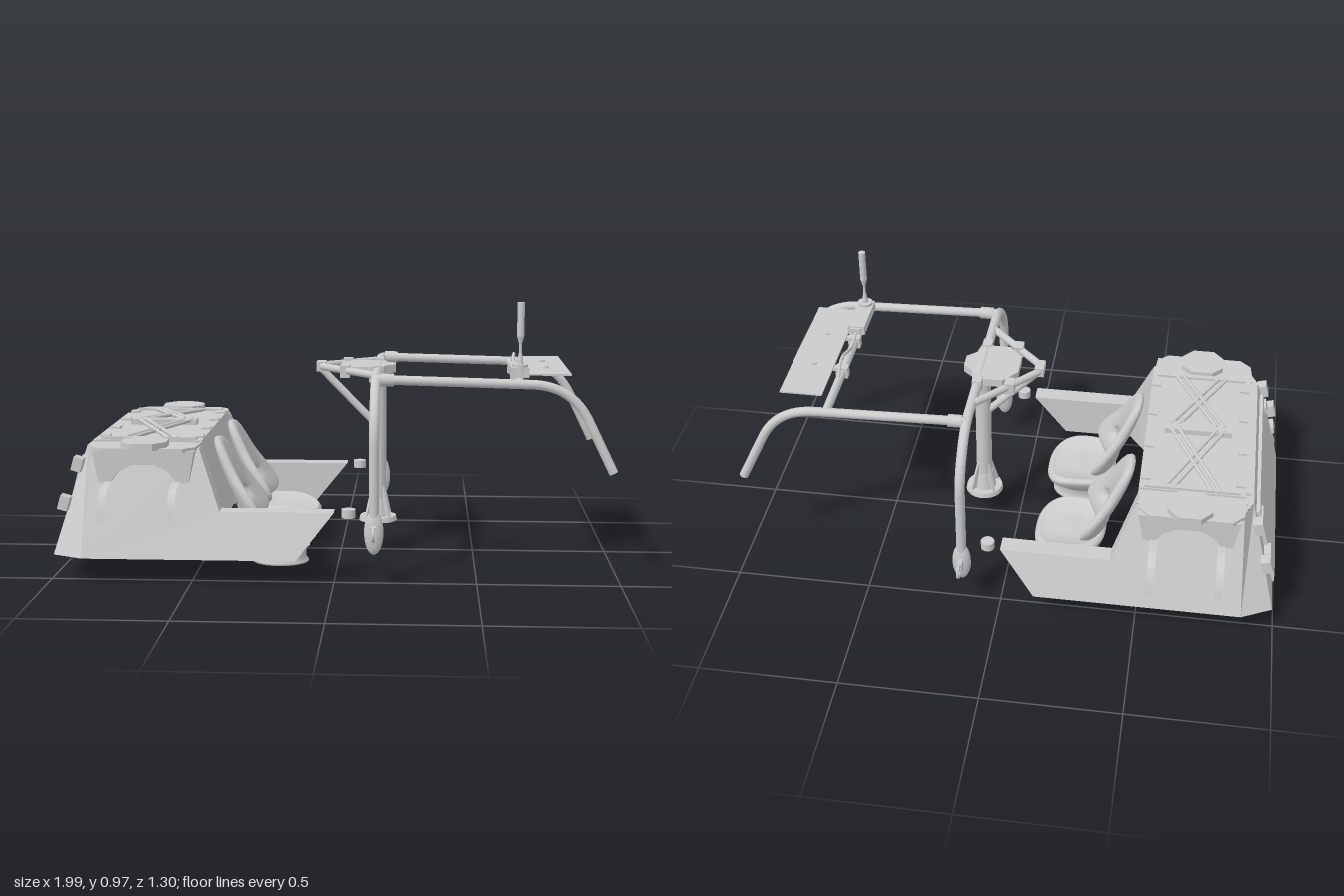
import * as THREE from 'three';
import { ParametricGeometry } from 'three/addons/geometries/ParametricGeometry.js';

const mat = new THREE.MeshStandardMaterial({ color: 0xcccccc, side: THREE.DoubleSide });
const V = (x, y, z) => new THREE.Vector3(x, y, z);

export function createModel() {
  const root = new THREE.Group();

  const add = (name, geo, x = 0, y = 0, z = 0, parent = root) => {
    const m = new THREE.Mesh(geo, mat);
    m.name = name;
    m.position.set(x, y, z);
    parent.add(m);
    return m;
  };
  const box = (name, x, y, z, w, h, d) => add(name, new THREE.BoxGeometry(w, h, d), x, y, z);
  const cyl = (name, x, y, z, r, h, r2 = r, n = 24) => add(name, new THREE.CylinderGeometry(r2, r, h, n), x, y, z);

  // Flat panel from corners, as a fan
  const panel = (name, pts) => {
    const a = [];
    for (let i = 1; i < pts.length - 1; i++) a.push(...pts[0], ...pts[i], ...pts[i + 1]);
    const g = new THREE.BufferGeometry();
    g.setAttribute('position', new THREE.Float32BufferAttribute(a, 3));
    g.computeVertexNormals();
    add(name, g);
  };

  // Capped pipe through points, with rounded corners
  const pipe = (name, pts, r, bend = 0.08) => {
    const p = pts.map((q) => V(...q));
    const path = new THREE.CurvePath();
    let from = p[0];
    for (let i = 1; i < p.length - 1; i++) {
      const toward = (q) => p[i].clone().add(q.clone().sub(p[i]).setLength(Math.min(bend, q.distanceTo(p[i]) * 0.45)));
      const a = toward(p[i - 1]), b = toward(p[i + 1]);
      path.add(new THREE.LineCurve3(from, a));
      path.add(new THREE.QuadraticBezierCurve3(a, p[i], b));
      from = b;
    }
    path.add(new THREE.LineCurve3(from, p[p.length - 1]));
    add(name, new THREE.TubeGeometry(path, p.length > 2 ? 60 : 1, r, 14));
    for (const t of [0, 1]) {
      const cap = add(name + 'Cap', new THREE.CircleGeometry(r, 14));
      cap.position.copy(path.getPointAt(t));
      cap.lookAt(cap.position.clone().add(path.getTangentAt(t).multiplyScalar(t ? 1 : -1)));
    }
  };

  // Outline in x/z extruded upward from y
  const plate = (name, pts, y, h) => {
    const s = new THREE.Shape(pts.map(([x, z]) => new THREE.Vector2(x, -z)));
    const g = new THREE.ExtrudeGeometry(s, { depth: h, bevelEnabled: false });
    g.rotateX(-Math.PI / 2);
    add(name, g, 0, y, 0);
  };

  // Tub: rear wall, deck and bulkhead
  panel('rearWall', [[-0.99, 0.09, 0.51], [-0.99, 0.09, -0.51], [-0.89, 0.46, -0.37], [-0.89, 0.46, 0.37]]);
  panel('deck', [[-0.89, 0.46, 0.37], [-0.86, 0.46, 0.43], [-0.48, 0.46, 0.43], [-0.48, 0.46, -0.43], [-0.86, 0.46, -0.43], [-0.89, 0.46, -0.37]]);
  panel('bulkhead', [[-0.46, 0.09, 0.36], [-0.46, 0.09, -0.36], [-0.48, 0.46, -0.36], [-0.48, 0.46, 0.36]]);

  // Tub sides, mirrored
  for (const s of [1, -1]) {
    const side = (name, pts) => panel(name, pts.map(([x, y, z]) => [x, y, z * s]));
    side('sidePanel', [[-0.88, 0.09, 0.565], [-0.13, 0.09, 0.565], [0, 0.25, 0.507], [-0.4, 0.25, 0.507], [-0.48, 0.46, 0.432], [-0.86, 0.46, 0.432]]);
    side('rearCorner', [[-0.88, 0.09, 0.565], [-0.99, 0.09, 0.51], [-0.89, 0.46, 0.37], [-0.86, 0.46, 0.432]]);
    side('sillTop', [[-0.4, 0.25, 0.44], [-0.4, 0.25, 0.507], [0, 0.25, 0.507], [0, 0.25, 0.44]]);
    side('sillInner', [[-0.4, 0.09, 0.44], [-0.13, 0.09, 0.44], [0, 0.25, 0.44], [-0.4, 0.25, 0.44]]);
    side('sillFront', [[-0.13, 0.09, 0.44], [-0.13, 0.09, 0.565], [0, 0.25, 0.507], [0, 0.25, 0.44]]);
    side('pillarFront', [[-0.4, 0.25, 0.44], [-0.4, 0.25, 0.507], [-0.48, 0.46, 0.432], [-0.48, 0.46, 0.36]]);
    side('pillarInner', [[-0.46, 0.09, 0.36], [-0.4, 0.09, 0.44], [-0.4, 0.25, 0.44], [-0.48, 0.46, 0.36]]);

    // Arched shoulder box and its eight-sided lid
    const arch = new THREE.Shape([[-0.83, 0.35], [-0.79, 0.34], [-0.76, 0.385], [-0.71, 0.41], [-0.63, 0.41], [-0.58, 0.385], [-0.55, 0.34],
      [-0.51, 0.35], [-0.49, 0.46], [-0.85, 0.46]].map((q) => new THREE.Vector2(...q)));
    add('shoulderBox', new THREE.ExtrudeGeometry(arch, { depth: 0.11, bevelEnabled: false }), 0, 0, s > 0 ? 0.38 : -0.49);
    plate('shoulderTop', [[-0.87, 0.36], [-0.86, 0.46], [-0.82, 0.5], [-0.53, 0.5], [-0.49, 0.46], [-0.48, 0.36]].map(([x, z]) => [x, z * s]), 0.455, 0.015);
    plate('shoulderLid', [[-0.71, 0.37], [-0.63, 0.37], [-0.59, 0.41], [-0.59, 0.475], [-0.63, 0.52], [-0.71, 0.52], [-0.75, 0.475], [-0.75, 0.41]].map(([x, z]) => [x, z * s]), 0.465, 0.025);

    // Curved side straps
    const arc = new THREE.CatmullRomCurve3([V(0, 0.35, 0.47), V(0, 0.35, 0.55), V(0, 0.335, 0.6), V(0, 0.295, 0.63), V(0, 0.23, 0.65)]);
    for (const x of [-0.79, -0.55])
      add('sideStrap', new ParametricGeometry((u, v, t) => {
        arc.getPoint(u, t);
        t.set(x + (v - 0.5) * 0.027, t.y, t.z * s);
      }, 20, 1));

    // Rear corner latches and hinges
    for (const [x, y, z] of [[-0.915, 0.4, 0.42], [-0.955, 0.27, 0.47]]) {
      box('rearLatch', x, y, z * s, 0.035, 0.05, 0.045).rotation.z = -0.27;
      box('rearHinge', x - 0.005, y - 0.02, (z - 0.09) * s, 0.025, 0.03, 0.06).rotation.z = -0.27;
    }
    box('rearFoot', -0.975, 0.105, 0.3 * s, 0.04, 0.03, 0.12);
  }
  box('rearDoor', -0.947, 0.265, 0, 0.018, 0.31, 0.72).rotation.z = -0.264;

  // Luggage cover with crossed straps
  box('cover', -0.67, 0.465, 0, 0.38, 0.025, 0.72);
  box('coverEdge', -0.865, 0.455, 0, 0.03, 0.03, 0.66);
  for (const s of [1, -1]) {
    box('coverEndRail', -0.67, 0.48, 0.345 * s, 0.34, 0.014, 0.02);
    for (const [a, b] of [[-0.77, -0.6], [-0.6, -0.77], [-0.74, -0.57], [-0.57, -0.74]])
      pipe('coverStrap', [[a, 0.482, 0.35 * s], [b, 0.496, 0.01 * s]], 0.007);
    for (const x of [-0.84, -0.5])
      for (const z of [0.1, 0.29]) box('coverLatch', x, 0.475, z * s, 0.035, 0.02, 0.045);
  }
  box('strapPlate', -0.675, 0.488, 0, 0.25, 0.022, 0.05);

  // Seats
  const outline = [[0.03, 0.15], [0.1, 0.155], [0.14, 0.18], [0.15, 0.22], [0.135, 0.28], [0.105, 0.35], [0.08, 0.42], [0.055, 0.455], [0.02, 0.465]];
  const backEdge = new THREE.CatmullRomCurve3(
    [...outline, ...outline.map(([z, y]) => [-z, y]).reverse()].map(([z, y]) => V(0, y, z)), true);
  const holeY = 0.25, TAU = Math.PI * 2;
  const soft = (c, e) => Math.sign(c) * Math.pow(Math.abs(c), e);
  // Backrest: a closed ring from the slot edge, out over the front and back behind
  const backrest = (u, v, t) => {
    const edge = backEdge.getPoint(u);
    const a = Math.atan2(edge.y - holeY, edge.z);
    const hz = 0.072 * soft(Math.cos(a), 0.6), hy = 0.026 * soft(Math.sin(a), 0.6);
    const k = (1 - Math.cos(v * TAU)) / 2;
    const thick = 0.024 * soft(Math.sin(v * TAU), 0.6);
    const z = hz + (edge.z - hz) * k, y = holeY + hy + (edge.y - holeY - hy) * k;
    t.set(-0.335 - (y - 0.16) * 0.36 + z * z * 3.2 * Math.max(0.3, 1 - (y - 0.16) * 2.2) + thick, y, z);
  };
  // Cushion: rounded-square rings, dished on top and drawn in to the base
  const rings = new THREE.CatmullRomCurve3([[0, 0.132], [0.45, 0.132], [0.75, 0.143], [0.93, 0.152], [1, 0.138], [0.93, 0.112], [0.74, 0.08], [0.6, 0.055]]
    .map(([r, y]) => V(r, y, 0)));
  const cushion = (u, v, t) => {
    const a = -u * TAU, q = rings.getPoint(v), r = Math.max(0, q.x);
    const x = 0.135 * r * soft(Math.cos(a), 0.75), z = 0.155 * r * soft(Math.sin(a), 0.75);
    const front = Math.max(0, x) / 0.135;
    t.set(x - 0.225, q.y - 0.035 * front * front * (q.y > 0.09 ? 1 : 0.3), z);
  };
  for (const s of [1, -1]) {
    const seat = new THREE.Group();
    seat.name = 'seat';
    seat.position.z = 0.195 * s;
    root.add(seat);
    add('backrest', new ParametricGeometry(backrest, 56, 24), 0, 0, 0, seat);
    add('cushion', new ParametricGeometry(cushion, 48, 28), 0, 0, 0, seat);
    const foot = [[0, 0], [0.09, 0], [0.09, 0.008], [0.083, 0.014], [0.083, 0.045], [0.095, 0.062]].map((q) => new THREE.Vector2(...q));
    add('seatBase', new THREE.LatheGeometry(foot, 32), -0.215, 0, 0, seat).scale.x = 1.15;
  }

  // Roll cage
  pipe('mainHoop', [[0.14, 0.2, 0.515], [0.14, 0.57, 0.515], [0.14, 0.7, 0.39], [0.14, 0.7, -0.39], [0.14, 0.57, -0.515], [0.14, 0.2, -0.515]], 0.018);
  for (const s of [1, -1]) {
    pipe('roofRail', [[0.14, 0.7, 0.355 * s], [0.83, 0.682, 0.355 * s], [0.98, 0.375, 0.372 * s]], 0.017, 0.14);
    pipe('roofBrace', [[0.14, 0.7, 0.25 * s], [-0.075, 0.705, 0.02 * s], [-0.075, 0.705, 0]], 0.014, 0.02);
    add('railCollar', new THREE.CylinderGeometry(0.023, 0.023, 0.05, 20).rotateZ(Math.PI / 2), 0.18, 0.699, 0.355 * s);

    // Hoop foot with eye, and the loose peg beside it
    add('hoopFoot', new THREE.SphereGeometry(1, 24, 16), 0.14, 0.185, 0.515 * s).scale.set(0.034, 0.08, 0.024);
    box('footLug', 0.14, 0.19, 0.548 * s, 0.018, 0.045, 0.04);
    add('footEye', new THREE.TorusGeometry(0.021, 0.006, 10, 24).rotateY(Math.PI / 2), 0.14, 0.19, 0.58 * s);
    cyl('peg', 0.05, 0.243, 0.475 * s, 0.025, 0.03);
  }
  pipe('crossBar', [[0.65, 0.687, 0.355], [0.65, 0.687, -0.355]], 0.016);

  // Centre column, flared foot and diagonal strut
  cyl('column', 0.14, 0.4, 0, 0.03, 0.56);
  cyl('columnFlange', 0.14, 0.125, 0, 0.072, 0.018, 0.068, 32);
  cyl('columnFlare', 0.14, 0.165, 0, 0.045, 0.07, 0.032);
  for (let i = 0; i < 4; i++) {
    const a = Math.PI / 4 + i * Math.PI / 2;
    const rib = new THREE.Shape([new THREE.Vector2(0.025, 0), new THREE.Vector2(0.066, 0), new THREE.Vector2(0.03, 0.12)]);
    add('columnRib', new THREE.ExtrudeGeometry(rib, { depth: 0.01, bevelEnabled: false }).translate(0, 0, -0.005), 0.14, 0.132, 0).rotation.y = a;
  }
  cyl('columnHead', 0.14, 0.665, 0, 0.036, 0.04);
  pipe('columnStrut', [[-0.075, 0.695, 0], [0.13, 0.485, 0]], 0.014);

  // Roof mount plate
  plate('mountPlate', [[0.0, -0.05], [0.05, -0.11], [0.16, -0.11], [0.17, -0.06], [0.205, -0.03], [0.205, 0.03], [0.17, 0.06],
    [0.16, 0.11], [0.05, 0.11], [0.0, 0.05]], 0.685, 0.03);
  for (const z of [0.12, -0.12])
    for (const x of [0.02, 0.14]) box('mountClamp', x, 0.7, z, 0.035, 0.045, 0.045);
  box('mountNose', -0.075, 0.705, 0, 0.035, 0.035, 0.06);

  // Visor and radio gear on the front cross bar
  box('visor', 0.757, 0.711, -0.005, 0.155, 0.006, 0.57);
  for (const z of [0.1, -0.1]) {
    box('visorArm', 0.7, 0.702, z, 0.1, 0.012, 0.025);
    cyl('visorBolt', 0.757, 0.716, z, 0.01, 0.008);
    box('barClamp', 0.65, 0.69, z, 0.045, 0.042, 0.03);
  }
  box('radioBox', 0.65, 0.722, 0.22, 0.065, 0.036, 0.19);
  box('radioCap', 0.65, 0.72, 0.16, 0.04, 0.03, 0.09);
  cyl('antennaMount', 0.65, 0.735, 0.29, 0.028, 0.03);
  cyl('antennaSpring', 0.65, 0.765, 0.29, 0.013, 0.05, 0.006);
  cyl('antennaStem', 0.65, 0.81, 0.29, 0.005, 0.06);
  cyl('antennaTaper', 0.65, 0.835, 0.29, 0.005, 0.03, 0.013);
  cyl('antennaRod', 0.65, 0.91, 0.29, 0.013, 0.12);
  const cable = new THREE.CatmullRomCurve3([V(0.65, 0.715, 0.12), V(0.645, 0.712, 0.03), V(0.645, 0.735, -0.04), V(0.65, 0.745, -0.09), V(0.65, 0.73, -0.135), V(0.65, 0.7, -0.16)]);
  add('cable', new THREE.TubeGeometry(cable, 40, 0.006, 8));

  return root;
}
